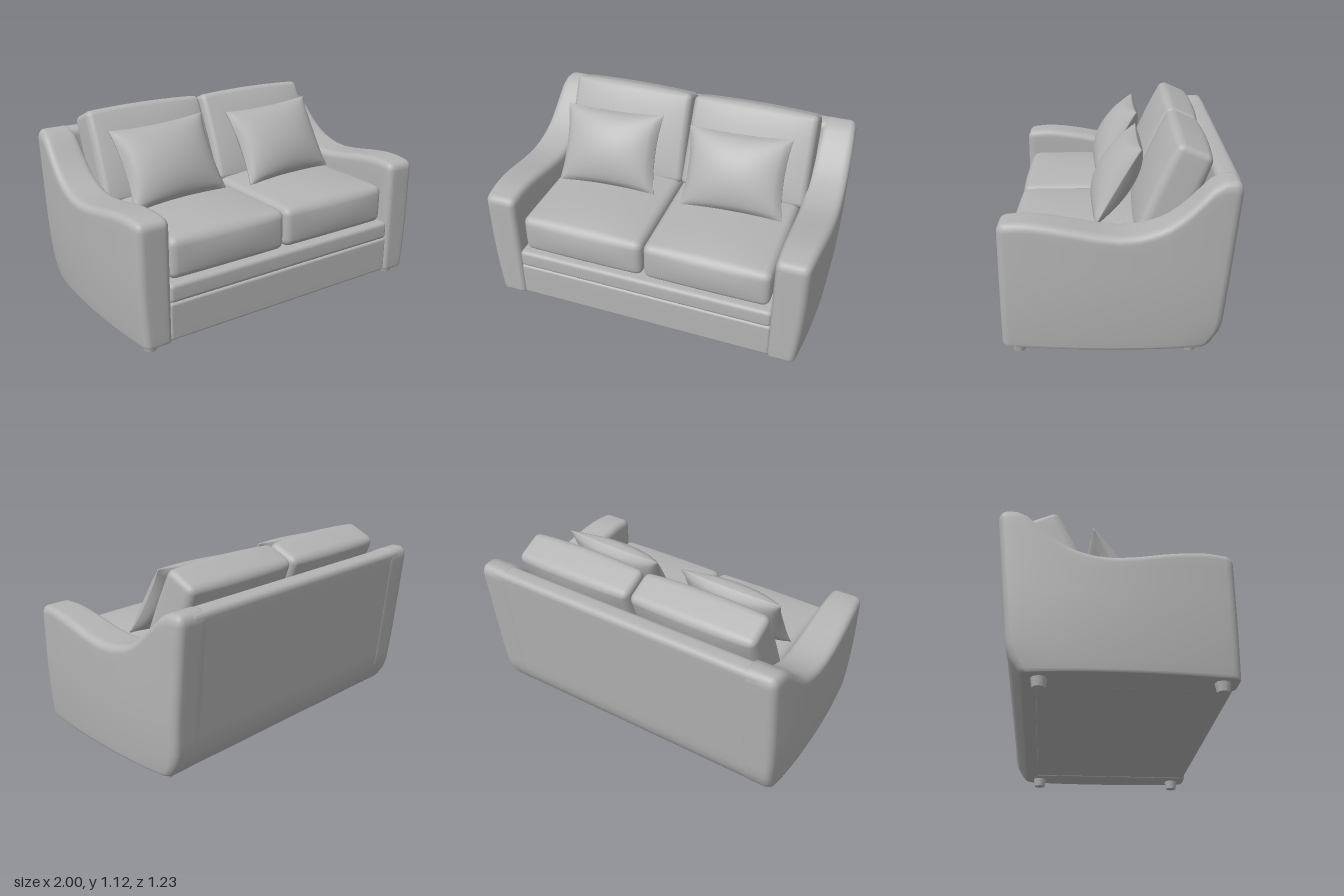
import * as THREE from 'three';
import { mergeVertices } from 'three/addons/utils/BufferGeometryUtils.js';

const fabric = new THREE.MeshStandardMaterial({ color: 0xb4b4b4 });
fabric.name = 'grey fabric';

// Moves every vertex by a rule, then welds and smooths the surface
function reshape(geometry, rule) {
  geometry.deleteAttribute('uv');
  geometry.deleteAttribute('normal');
  const p = geometry.attributes.position;
  const v = new THREE.Vector3();
  for (let i = 0; i < p.count; i++) {
    rule(v.fromBufferAttribute(p, i));
    p.setXYZ(i, v.x, v.y, v.z);
  }
  const merged = mergeVertices(geometry, 1e-5);
  merged.computeVertexNormals();
  return merged;
}

// Box with rounded edges, centred on (cx, cy, cz), then bent by an optional rule
function softBox([w, h, d], r, [cx, cy, cz], rule = () => {}) {
  const edge = 3; // grid steps across each rounded edge
  const steps = (s) => 2 * edge + THREE.MathUtils.clamp(Math.round(s / 0.055), 2, 22);
  const half = new THREE.Vector3(w / 2, h / 2, d / 2);
  const inner = half.clone().subScalar(r);
  const core = new THREE.Vector3();
  // Gathers grid lines at the edges and spreads the rest evenly
  const space = (value, s) => {
    const n = steps(s);
    const i = Math.round((value / s + 0.5) * n);
    if (i <= edge) return -s / 2 + r * i / edge;
    if (i >= n - edge) return s / 2 - r * (n - i) / edge;
    return THREE.MathUtils.mapLinear(i, edge, n - edge, r - s / 2, s / 2 - r);
  };
  return reshape(new THREE.BoxGeometry(w, h, d, steps(w), steps(h), steps(d)), (v) => {
    v.set(space(v.x, w), space(v.y, h), space(v.z, d));
    core.copy(v).clamp(inner.clone().negate(), inner);
    v.sub(core).setLength(r).add(core);
    const unit = v.clone().divide(half);
    v.x += cx; v.y += cy; v.z += cz;
    rule(v, unit);
  });
}

// Arm top line as [z, height], swept up into the back
const armLine = [[-0.63, 0.97], [-0.55, 0.978], [-0.5, 0.968], [-0.46, 0.935], [-0.41, 0.88],
  [-0.35, 0.82], [-0.28, 0.765], [-0.2, 0.726], [-0.1, 0.7], [0, 0.694], [0.12, 0.708],
  [0.25, 0.733], [0.38, 0.753], [0.48, 0.76], [0.63, 0.748]];

function armTop(z) {
  let i = 0;
  while (i < armLine.length - 2 && z > armLine[i + 1][0]) i++;
  const [a, b] = [armLine[i], armLine[i + 1]];
  return THREE.MathUtils.mapLinear(z, a[0], b[0], a[1], b[1]);
}

// Rear face leans back and curls under at the bottom
function leanBack(v) {
  const weight = v.z < 0 ? Math.min(1, v.z * v.z / 0.36) : 0;
  const curl = Math.max(0, 0.2 - v.y) / 0.15;
  v.z += weight * ((0.97 - v.y) * 0.1 + 0.06 * curl * curl);
}

function armGeometry(side) {
  const inside = 0.77, width = 0.23, floor = 0.05;
  return softBox([width, 0.73, 1.24], 0.045, [side * (inside + width / 2), 0.385, -0.005], (v) => {
    const t = Math.max(0, (v.y - 0.05) / 0.7);
    v.y = floor + t * (armTop(v.z) - floor);
    // Outer side bows outward at mid-depth and tapers at the foot
    const bow = v.z > 0 ? 0.042 * (v.z / 0.6) ** 2 : 0.03 * (v.z / 0.62) ** 2;
    const foot = 0.03 * Math.max(0, 1 - v.y / 0.5) ** 2;
    const u = (side * v.x - inside) / width;
    v.x = side * (inside + u * (width - bow - foot));
    leanBack(v);
  });
}

// Square cushion with a thin rim, hollow sides and a full middle
function pillowGeometry(w, h, depth) {
  return reshape(new THREE.BoxGeometry(2, 2, 2, 28, 28, 2), (v) => {
    const { x, y, z } = v;
    const a = 1 - x * x, b = 1 - y * y;
    v.set(x * w / 2 * (1 - 0.07 * b), y * h / 2 * (1 - 0.06 * a),
      z * (0.004 + depth / 2 * Math.pow(a * b, 0.55)));
  });
}

export function createModel() {
  const group = new THREE.Group();
  const add = (name, geometry) => {
    const mesh = new THREE.Mesh(geometry, fabric);
    mesh.name = name;
    group.add(mesh);
    return mesh;
  };

  // Frame
  add('back', softBox([1.8, 0.95, 0.125], 0.04, [0, 0.495, -0.56], (v) => {
    v.y = Math.max(v.y, 0.05);
    leanBack(v);
  }));
  add('base', softBox([1.56, 0.217, 1.06], 0.015, [0, 0.1605, 0.075]));
  add('seatRail', softBox([1.56, 0.11, 1.05], 0.025, [0, 0.323, 0.083]));

  for (const side of [1, -1]) {
    const label = side > 0 ? 'left' : 'right';
    add(label + 'Arm', armGeometry(side));

    // Seat cushion with a crowned top and bowed front
    add(label + 'SeatCushion', softBox([0.75, 0.235, 0.92], 0.045, [side * 0.378, 0.495, 0.115], (v, n) => {
      const crown = (1 - n.x * n.x) * (1 - n.z ** 4);
      if (n.y > 0) v.y += 0.03 * crown * n.y;
      if (n.z > 0) v.z += 0.018 * (1 - n.x * n.x) * (1 - n.y * n.y) * n.z;
    }));

    // Leaning back cushion
    const backCushion = add(label + 'BackCushion', softBox([0.78, 0.56, 0.19], 0.035, [0, 0, 0], (v, n) => {
      const puff = (1 - n.x * n.x) * (1 - n.y * n.y);
      v.z += n.z * 0.045 * Math.sqrt(Math.max(0, puff));
      v.x *= 1 - 0.015 * n.y;
      v.y += 0.012 * n.y * (1 - n.x * n.x);
    }));
    backCushion.position.set(side * 0.392, 0.82, -0.29);
    backCushion.rotation.x = -0.42;

    // Throw pillow
    const pillow = add(label + 'Pillow', pillowGeometry(0.62, 0.48, 0.21));
    pillow.position.set(side > 0 ? 0.375 : -0.42, 0.835, 0.005);
    pillow.rotation.set(-0.53, 0, 0.04);

    // Feet
    for (const [end, z] of [['Front', 0.53], ['Back', -0.38]]) {
      const foot = add(label + end + 'Foot', new THREE.CylinderGeometry(0.044, 0.034, 0.06, 8));
      foot.position.set(side * 0.87, 0.03, z);
    }
  }
  return group;
}
